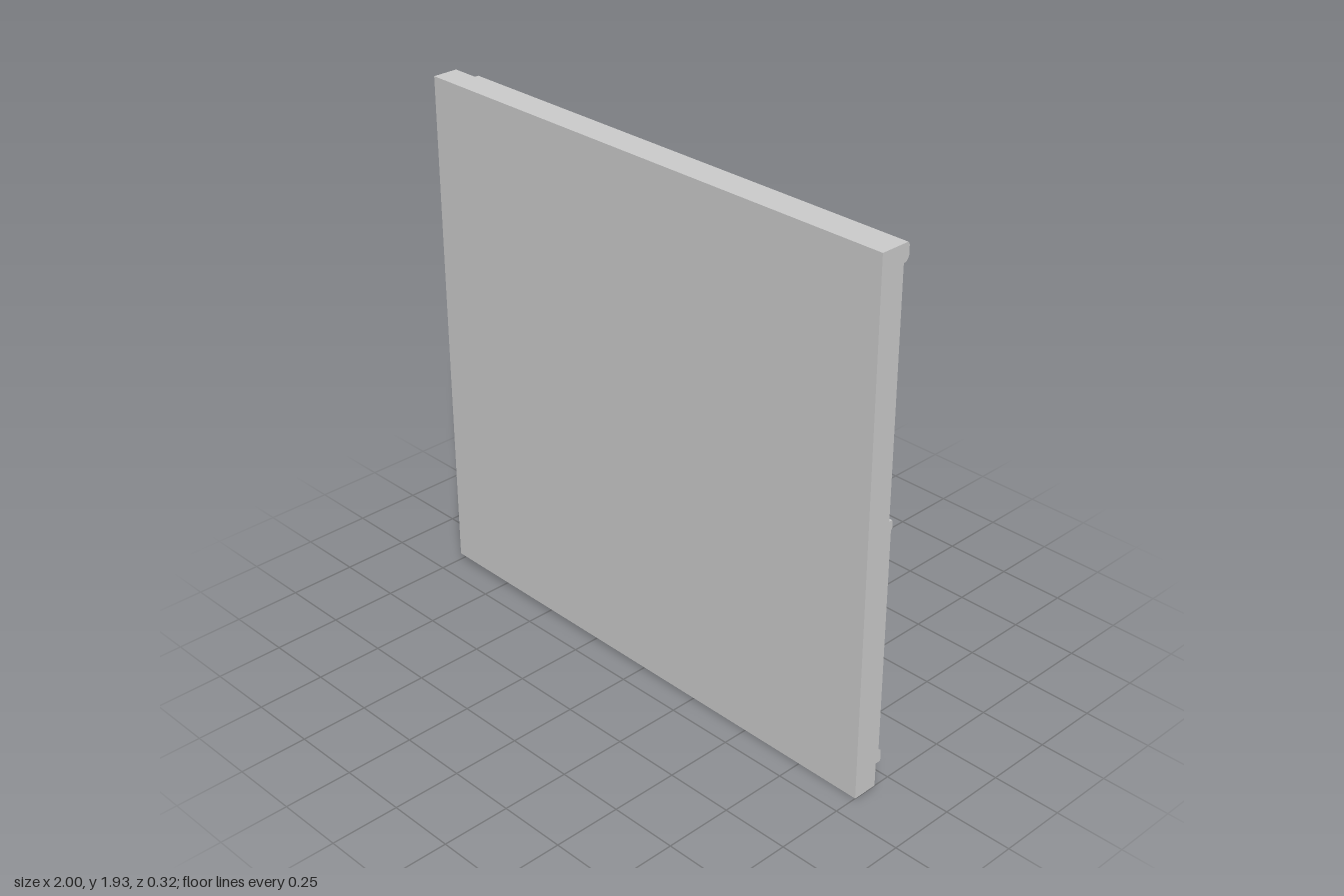
import * as THREE from 'three';
import { toCreasedNormals } from 'three/addons/utils/BufferGeometryUtils.js';

const material = new THREE.MeshStandardMaterial({ color: 0xcccccc });
const BACK = 0.065;             // z of the wall's bare back face
const LEFT = 1, RIGHT = -0.9;   // x range of the trim

function add(parent, name, geometry, x = 0, y = 0, z = 0) {
  const mesh = new THREE.Mesh(geometry, material);
  mesh.name = name;
  mesh.position.set(x, y, z);
  parent.add(mesh);
  return mesh;
}

// Trim strip along x; profile points are [distance out from the wall, height]
function trim(parent, name, points) {
  const shape = new THREE.Shape(points.map(([out, y]) => new THREE.Vector2(out - BACK, y)));
  const geometry = new THREE.ExtrudeGeometry(shape, { depth: LEFT - RIGHT, bevelEnabled: false });
  geometry.rotateY(Math.PI / 2);
  add(parent, name, toCreasedNormals(geometry, 0.7), RIGHT);
}

export function createModel() {
  const model = new THREE.Group();
  model.name = 'wallWithTowelRack';

  // Wall slab with a slightly sloping foot
  const outline = new THREE.Shape([[-1, 0.025], [1, 0], [1, 1.935], [-1, 1.935]]
    .map(([x, y]) => new THREE.Vector2(x, y)));
  add(model, 'wall', new THREE.ExtrudeGeometry(outline, { depth: 0.16 - BACK, bevelEnabled: false }), 0, 0, BACK);

  // Thin panel on the lower half
  const panelBottom = 0.1, panelTop = 0.99;
  add(model, 'lowerPanel', new THREE.BoxGeometry(LEFT - RIGHT, panelTop - panelBottom, 0.01),
    (LEFT + RIGHT) / 2, (panelTop + panelBottom) / 2, BACK - 0.005);

  // Mouldings
  trim(model, 'topMoulding', [[0, 1.873], [0.006, 1.873], [0.012, 1.876], [0.018, 1.882],
    [0.022, 1.89], [0.022, 1.924], [0.02, 1.93], [0.015, 1.935], [0, 1.935]]);
  trim(model, 'middleMoulding', [[0, 0.975], [0.012, 0.975], [0.016, 0.98], [0.016, 1.005],
    [0.013, 1.01], [0, 1.01]]);
  trim(model, 'baseMoulding', [[0, 0.09], [0.018, 0.09], [0.022, 0.096], [0.022, 0.128],
    [0.019, 0.136], [0.01, 0.142], [0.008, 0.148], [0, 0.148]]);

  // Towel rack: two posts on round flanges, joined by two bars
  const rack = new THREE.Group();
  rack.name = 'towelRack';
  rack.position.y = 0.852;
  model.add(rack);
  const posts = [0.06, 0.745];
  for (const x of posts) {
    add(rack, 'flange', new THREE.CylinderGeometry(0.045, 0.045, 0.018, 32).rotateX(Math.PI / 2), x, 0, 0.054);
    add(rack, 'post', new THREE.CylinderGeometry(0.018, 0.018, 0.215, 24).rotateX(Math.PI / 2), x, 0, -0.0525);
  }
  for (const z of [-0.137, -0.05]) {
    add(rack, 'bar', new THREE.CylinderGeometry(0.015, 0.015, posts[1] - posts[0], 24).rotateZ(Math.PI / 2),
      (posts[0] + posts[1]) / 2, 0, z);
  }
  return model;
}
